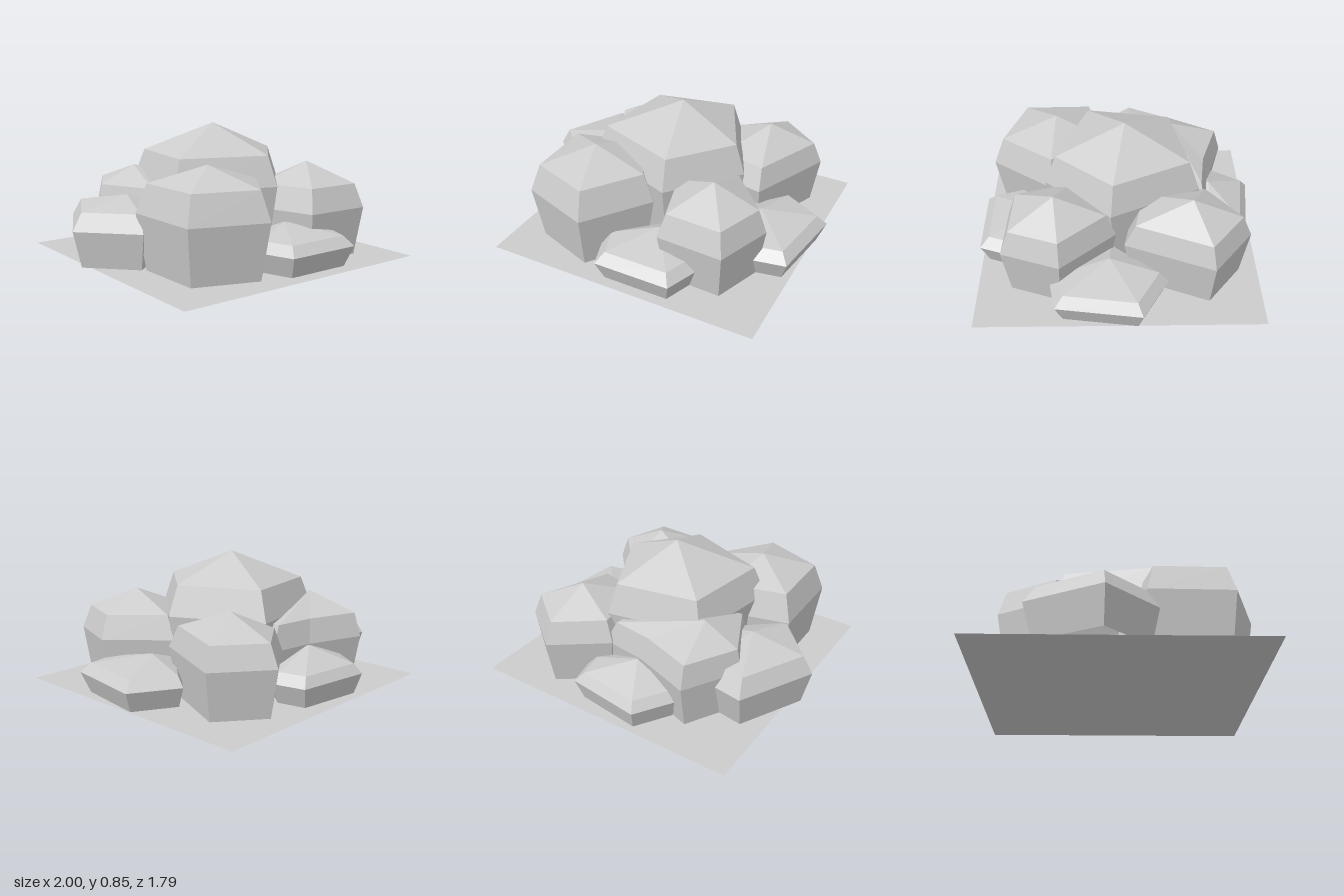
import * as THREE from 'three';

const material = new THREE.MeshStandardMaterial({ color: 0xcccccc, flatShading: true, side: THREE.DoubleSide });

// Each faceted lobe: apex point, shoulder height, height of the widest ring,
// and the outline of that ring as [x, z] pairs (right, front, left, back).
const lobes = [
  { name: 'centreLobe', apex: [0.01, 0.85, -0.04], shoulder: 0.67, waist: 0.48, inset: 0.86,
    outline: [[0.485, 0.05], [0.13, 0.47], [-0.49, 0.24], [-0.385, -0.39], [0.215, -0.51]] },
  { name: 'frontLeftLobe', apex: [0.44, 0.61, 0.4], shoulder: 0.48, waist: 0.33,
    outline: [[0.77, 0.36], [0.64, 0.72], [0.215, 0.7], [0.09, 0.28], [0.47, 0.02]] },
  { name: 'frontRightLobe', apex: [-0.37, 0.66, 0.415], shoulder: 0.55, waist: 0.37,
    outline: [[0.05, 0.44], [-0.24, 0.84], [-0.7, 0.68], [-0.71, 0.16], [-0.25, 0.04]] },
  { name: 'backLeftLobe', apex: [0.46, 0.59, -0.45], shoulder: 0.46, waist: 0.32,
    outline: [[0.79, -0.57], [0.56, -0.03], [0.2, -0.1], [0.14, -0.575], [0.47, -0.82]] },
  { name: 'backRightLobe', apex: [-0.405, 0.57, -0.36], shoulder: 0.46, waist: 0.31, inset: 0.88,
    outline: [[0.2, -0.56], [0.1, -0.1], [-0.48, 0.02], [-0.67, -0.375], [-0.47, -0.725], [-0.1, -0.6]] },
  { name: 'lowFrontLobe', apex: [0.14, 0.27, 0.53], shoulder: 0.21, waist: 0.15,
    outline: [[0.47, 0.66], [0.385, 0.89], [-0.11, 0.89], [-0.19, 0.66], [0.14, 0.35]] },
  { name: 'lowLeftLobe', apex: [0.62, 0.27, 0.06], shoulder: 0.21, waist: 0.15,
    outline: [[0.995, -0.135], [0.92, 0.39], [0.7, 0.43], [0.4, 0.05], [0.7, -0.3]] },
  { name: 'lowBackLobe', apex: [-0.08, 0.31, -0.61], shoulder: 0.21, waist: 0.15,
    outline: [[0.29, -0.63], [0.05, -0.35], [-0.4, -0.65], [-0.24, -0.9], [0.245, -0.835]] },
  { name: 'lowRightLobe', apex: [-0.6, 0.43, -0.12], shoulder: 0.36, waist: 0.25,
    outline: [[-0.3, -0.1], [-0.7, 0.23], [-1, -0.085], [-0.76, -0.55], [-0.45, -0.5]] },
];

// Rings at base, waist and shoulder, closed by a fan to the apex.
function makeLobe({ name, apex, shoulder, waist, outline, inset = 0.84 }) {
  const [cx, , cz] = apex;
  const n = outline.length;
  const positions = [];
  const index = [];
  for (const [y, s] of [[0.02, 0.86], [waist, 1], [shoulder, inset]]) {
    for (const [x, z] of outline) positions.push(cx + (x - cx) * s, y, cz + (z - cz) * s);
  }
  positions.push(...apex);
  for (let i = 0; i < n; i++) {
    const j = (i + 1) % n;
    for (let r = 0; r < 2; r++) {
      const a = r * n, b = a + n;
      index.push(a + i, b + i, a + j, b + i, b + j, a + j);
    }
    index.push(2 * n + i, 3 * n, 2 * n + j);
  }
  const geometry = new THREE.BufferGeometry();
  geometry.setAttribute('position', new THREE.Float32BufferAttribute(positions, 3));
  geometry.setIndex(index);
  geometry.computeVertexNormals();
  const mesh = new THREE.Mesh(geometry, material);
  mesh.name = name;
  return mesh;
}

export function createModel() {
  const group = new THREE.Group();
  group.name = 'shrub';
  for (const lobe of lobes) group.add(makeLobe(lobe));

  // Thin square the clump sits on
  const base = new THREE.Mesh(new THREE.PlaneGeometry(1.79, 1.78), material);
  base.name = 'groundPatch';
  base.rotation.x = -Math.PI / 2;
  base.position.x = 0.025;
  group.add(base);
  return group;
}
